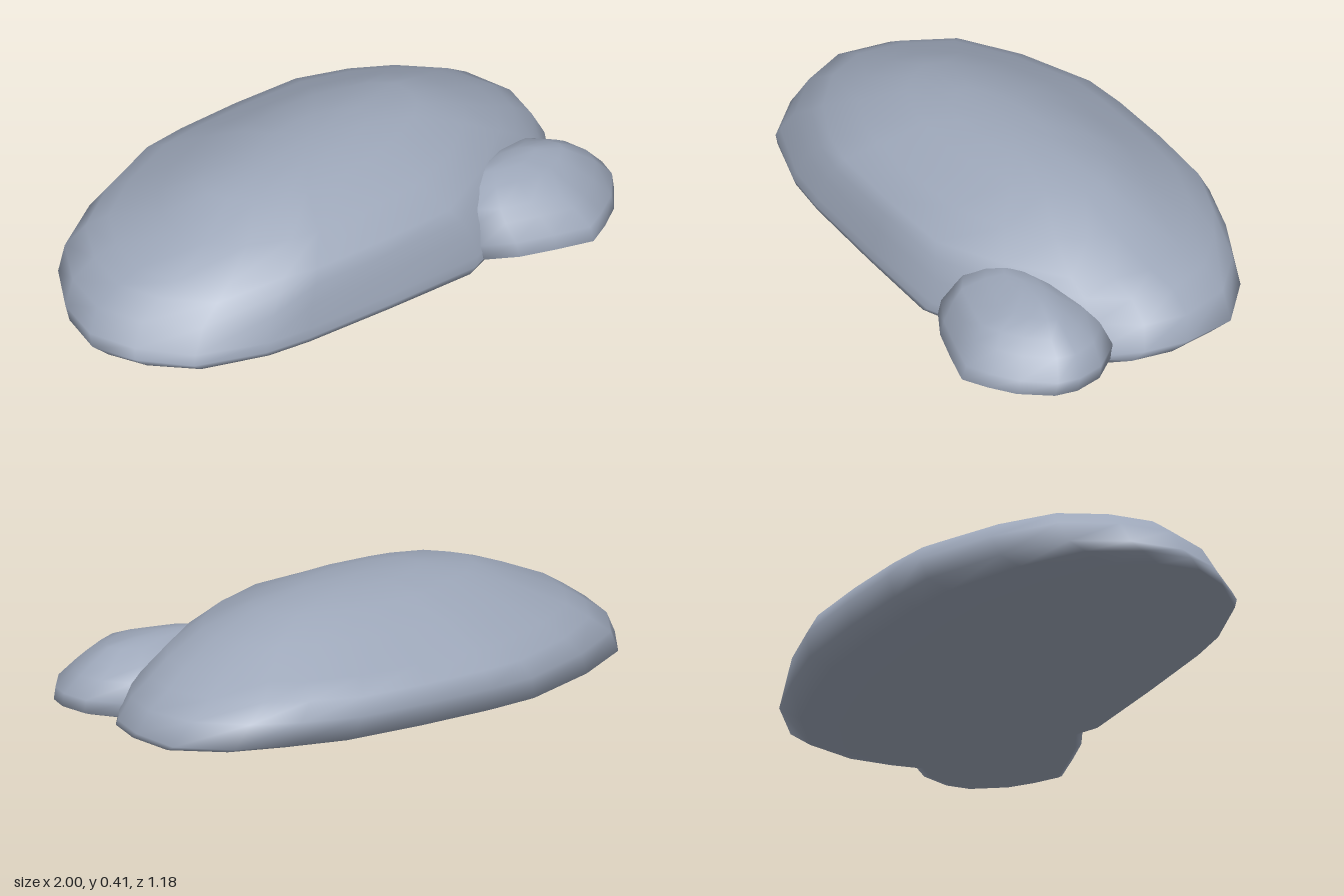
import * as THREE from 'three';

// Footprints as [x, z] loops: left, back, right, front
const LARGE_OUTLINE = [
  [-1, 0.17], [-0.98, -0.02], [-0.89, -0.21], [-0.68, -0.37], [-0.4, -0.51], [-0.22, -0.545],
  [0.05, -0.575], [0.34, -0.59], [0.56, -0.55], [0.76, -0.5], [0.93, -0.37], [0.965, -0.18],
  [0.95, -0.02], [0.86, 0.13], [0.64, 0.32], [0.36, 0.495], [0.0, 0.53], [-0.35, 0.555],
  [-0.52, 0.55], [-0.77, 0.48], [-0.92, 0.33],
];
const SMALL_OUTLINE = [
  [0.39, 0.48], [0.42, 0.33], [0.53, 0.2], [0.7, 0.1], [0.88, 0.075], [0.97, 0.17], [1, 0.27],
  [0.99, 0.35], [0.92, 0.46], [0.84, 0.53], [0.76, 0.585], [0.63, 0.56], [0.5, 0.53],
];

// Horizontal rings, bottom to top: [y, xMin, xMax, zMin, zMax, roundBack, roundFront, skew]
// The rounds say how far the corners are cut back to an ellipse, skew slants that ellipse.
const LARGE_RINGS = [
  [0, -0.965, 0.89, -0.34, 0.55, 0.2, 0, 0.15],
  [0.018, -1, 0.945, -0.49, 0.555, 0.1, 0, 0.15],
  [0.05, -0.99, 0.96, -0.57, 0.55, 0.1, 0.05, 0.15],
  [0.13, -0.947, 0.92, -0.588, 0.53, 0.7, 0.3, 0.12],
  [0.19, -0.862, 0.84, -0.56, 0.51, 1, 0.6, 0.12],
  [0.235, -0.79, 0.76, -0.48, 0.485, 1, 0.8, 0.15],
  [0.31, -0.62, 0.61, -0.345, 0.39, 1, 1, 0.22],
  [0.375, -0.46, 0.44, -0.22, 0.24, 1, 1, 0.36],
  [0.4, -0.25, 0.22, -0.09, 0.14, 1, 1, 0.36],
];
const SMALL_RINGS = [
  [0.01, 0.42, 0.97, 0.1, 0.57, 0, 0, 0],
  [0.022, 0.39, 1, 0.08, 0.588, 0, 0, 0],
  [0.07, 0.385, 1, 0.075, 0.57, 0, 0, 0],
  [0.13, 0.39, 0.945, 0.09, 0.52, 0.3, 0.3, 0],
  [0.17, 0.41, 0.89, 0.13, 0.48, 0.6, 0.6, 0],
  [0.208, 0.46, 0.83, 0.19, 0.39, 1, 1, 0],
  [0.226, 0.51, 0.73, 0.23, 0.32, 1, 1, 0],
];

// Rescales one coordinate of a loop to run from min to max
function fit(values, min, max) {
  const low = Math.min(...values);
  const span = Math.max(...values) - low;
  return values.map((v) => min + ((v - low) / span) * (max - min));
}

// Fits the footprint to each ring, joins the rings and closes both ends
function boulderGeometry(outline, rings, apex) {
  const n = outline.length;
  const us = fit(outline.map((p) => p[0]), -1, 1);
  const vs = fit(outline.map((p) => p[1]), -1, 1);
  const positions = [];
  const index = [];

  for (const [y, xMin, xMax, zMin, zMax, roundBack, roundFront, skew] of rings) {
    const shrink = us.map((u, i) => {
      const v = vs[i];
      const radius = Math.sqrt((u * u + v * v + 2 * skew * u * v) / (1 - skew * skew));
      const excess = Math.max(radius - 1.03, 0);
      return 1 / (1 + excess * (v < 0 ? roundBack : roundFront));
    });
    const xs = fit(us.map((u, i) => u * shrink[i]), xMin, xMax);
    const zs = fit(vs.map((v, i) => v * shrink[i]), zMin, zMax);
    xs.forEach((x, i) => positions.push(x, y, zs[i]));
  }
  const [baseY, bx0, bx1, bz0, bz1] = rings[0];
  const base = rings.length * n;
  const top = base + 1;
  positions.push((bx0 + bx1) / 2, baseY, (bz0 + bz1) / 2, ...apex);

  const last = (rings.length - 1) * n;
  for (let i = 0; i < n; i++) {
    const j = (i + 1) % n;
    index.push(base, i, j);
    for (let r = 0; r < last; r += n) {
      const a = r + i, b = r + j;
      index.push(b, a, a + n, b, a + n, b + n);
    }
    index.push(top, last + j, last + i);
  }

  const geometry = new THREE.BufferGeometry();
  geometry.setAttribute('position', new THREE.Float32BufferAttribute(positions, 3));
  geometry.setIndex(index);
  geometry.computeVertexNormals();
  return geometry;
}

export function createModel() {
  const group = new THREE.Group();
  group.name = 'rocks';
  const stone = new THREE.MeshStandardMaterial({ color: 0x9ca6b8 });
  stone.name = 'blue grey stone';

  const add = (name, outline, rings, apex) => {
    const mesh = new THREE.Mesh(boulderGeometry(outline, rings, apex), stone);
    mesh.name = name;
    group.add(mesh);
  };
  add('largeRock', LARGE_OUTLINE, LARGE_RINGS, [0, 0.408, 0.02]);
  add('smallRock', SMALL_OUTLINE, SMALL_RINGS, [0.6, 0.23, 0.28]);
  return group;
}
